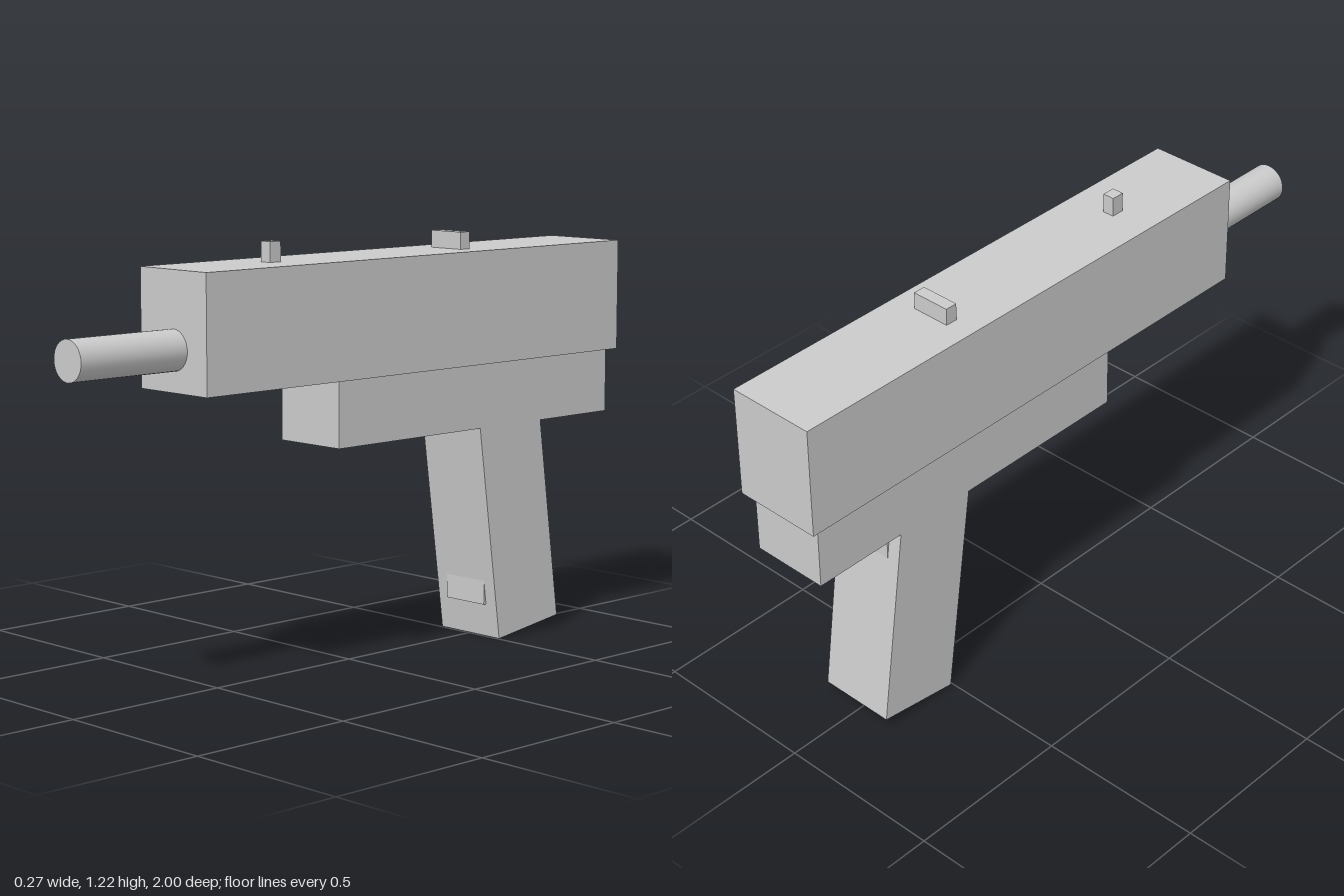
import * as THREE from 'three';

export function createModel() {
  const group = new THREE.Group();
  const material = new THREE.MeshStandardMaterial({ color: 0xcccccc });

  const add = (name, geometry, x, y, z) => {
    const mesh = new THREE.Mesh(geometry, material);
    mesh.name = name;
    mesh.position.set(x, y, z);
    group.add(mesh);
    return mesh;
  };

  // Box given by its width and its y and z limits, centred on x = 0
  const block = (name, width, y0, y1, z0, z1) =>
    add(name, new THREE.BoxGeometry(width, y1 - y0, z1 - z0), 0, (y0 + y1) / 2, (z0 + z1) / 2);

  // Body
  block('upperBody', 0.27, 0.83, 1.16, -1, 0.645);
  block('lowerBody', 0.235, 0.64, 0.83, -0.97, 0.15);

  // Sights, slightly sunk into the upper body
  block('frontSight', 0.036, 1.14, 1.217, 0.275, 0.315);
  block('rearSight', 0.118, 1.14, 1.21, -0.428, -0.391);

  // Barrel
  const barrel = add('barrel', new THREE.CylinderGeometry(0.057, 0.057, 0.375, 32), 0, 0.945, 0.8125);
  barrel.rotation.x = Math.PI / 2;

  // Slanted grip, its top hidden in the lower body
  const tilt = 0.137;
  const length = 0.74;
  const depth = 0.257;
  const grip = add('grip', new THREE.BoxGeometry(0.235, length, depth), 0,
    (depth / 2) * Math.sin(tilt) + (length / 2) * Math.cos(tilt),
    -0.633 + (length / 2) * Math.sin(tilt));
  grip.rotation.x = tilt;

  // Upright insert that just breaks through the grip at front and back
  block('gripInsert', 0.152, 0.1, 0.78, -0.69, -0.482);

  return group;
}
